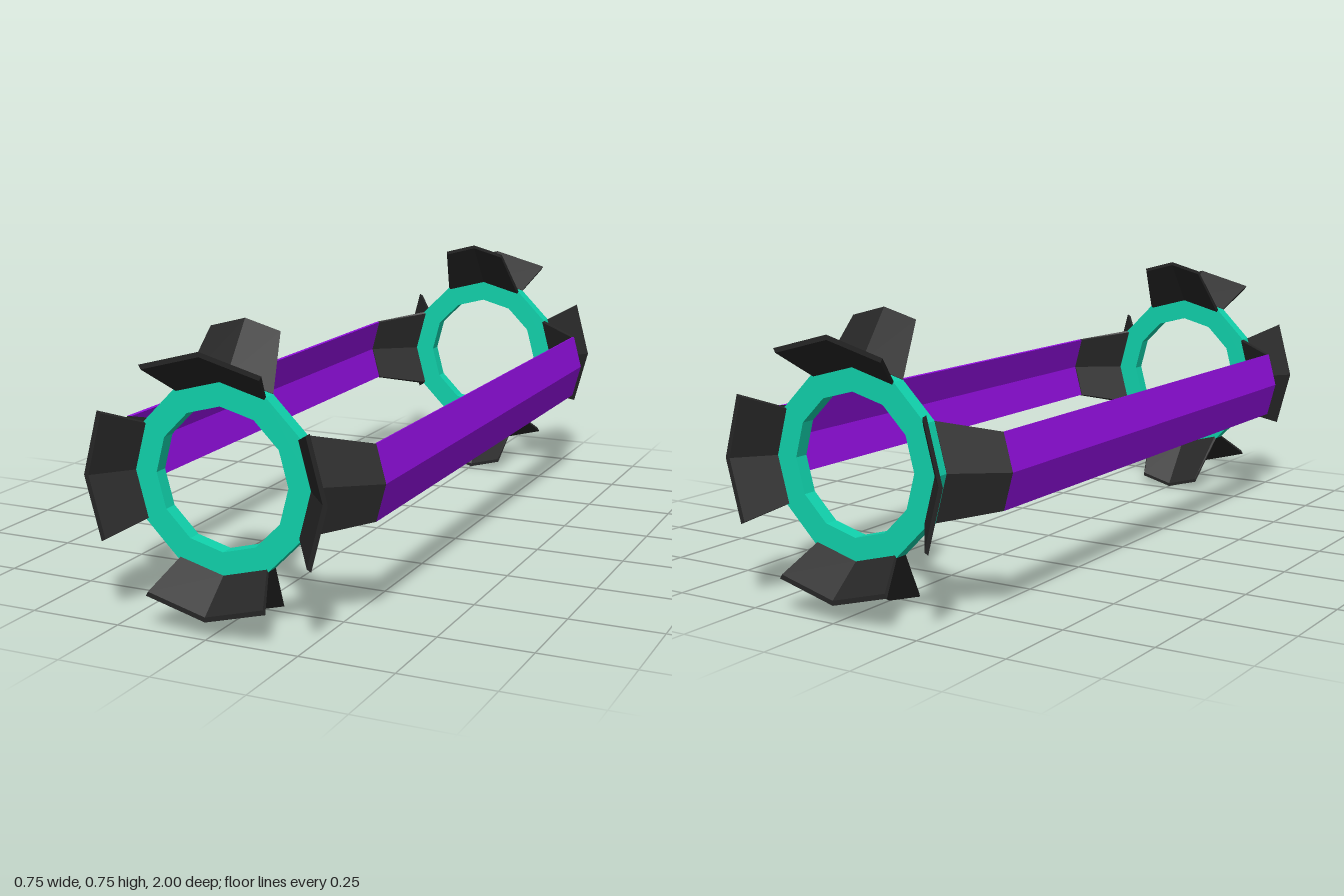
import * as THREE from 'three';

const CENTRE_Y = 0.376;
const material = (name, color, flatShading = true) =>
  new THREE.MeshStandardMaterial({ name, color, flatShading });

// Three-point chevron band facing +y: outer edge right to left, then inner edge back.
function chevron(halfWidth, sideY, peakY, thickness) {
  const s = (sideY - thickness) / sideY;
  return [
    [halfWidth, sideY], [0, peakY], [-halfWidth, sideY],
    [-halfWidth * s, sideY * s], [0, peakY * s], [halfWidth * s, sideY * s],
  ];
}

// Solid between two chevron sections, back at z0 and front at z1.
function loft(back, front, z0, z1) {
  const a = back.map(([x, y]) => [x, y, z0]);
  const b = front.map(([x, y]) => [x, y, z1]);
  const pos = [];
  const quad = (p, q, r, s) => pos.push(...p, ...q, ...r, ...p, ...r, ...s);
  for (let i = 0; i < 6; i++) {
    const j = (i + 1) % 6;
    quad(a[i], a[j], b[j], b[i]);
  }
  for (const [i, j, k, l] of [[0, 1, 4, 5], [1, 2, 3, 4]]) {
    quad(b[i], b[j], b[k], b[l]);
    quad(a[l], a[k], a[j], a[i]);
  }
  const geometry = new THREE.BufferGeometry();
  geometry.setAttribute('position', new THREE.Float32BufferAttribute(pos, 3));
  geometry.computeVertexNormals();
  return geometry;
}

function polygon(PathType, radius) {
  const points = [];
  for (let i = 0; i < 12; i++) {
    const t = (i * Math.PI) / 6;
    points.push(new THREE.Vector2(radius * Math.cos(t), radius * Math.sin(t)));
  }
  return new PathType(points);
}

export function createModel() {
  const model = new THREE.Group();
  model.name = 'twinRingFrame';
  const teal = material('teal', 0x10d2ac);
  const black = material('black', 0x262626);
  const purple = material('purple', 0x900edc);

  // Shared geometries
  const ringShape = polygon(THREE.Shape, 0.249);
  ringShape.holes.push(polygon(THREE.Path, 0.182));
  const ringGeometry = new THREE.ExtrudeGeometry(ringShape, { depth: 0.039, bevelEnabled: false });
  const base = chevron(0.125, 0.2165, 0.25, 0.008);
  const flare = chevron(0.165, 0.287, 0.331, 0.011);
  const bracketEnd = chevron(0.097, 0.35, 0.376, 0.009);
  const railSection = chevron(0.097, 0.35, 0.376, 0.007);
  const flareGeometry = loft(base, flare, 0.906, 1);
  const bracketGeometry = loft(bracketEnd, base, 0.775, 0.869);
  const railGeometry = loft(railSection, railSection, -0.775, 0.775);

  const add = (parent, name, geometry, mat, angle = 0) => {
    const mesh = new THREE.Mesh(geometry, mat);
    mesh.name = name;
    mesh.rotation.z = angle;
    parent.add(mesh);
    return mesh;
  };

  // Each end: a ring with four flared flaps outside and four brackets inside
  for (const [name, turn] of [['frontEnd', 0], ['backEnd', Math.PI]]) {
    const end = new THREE.Group();
    end.name = name;
    end.position.y = CENTRE_Y;
    end.rotation.y = turn;
    add(end, 'ring', ringGeometry, teal).position.z = 0.868;
    for (let k = 0; k < 4; k++) {
      add(end, 'outerFlap', flareGeometry, black, (k * Math.PI) / 2);
      add(end, 'innerBracket', bracketGeometry, black, (k * Math.PI) / 2);
    }
    model.add(end);
  }

  // Long side rails joining the two ends
  for (const [name, side] of [['leftRail', -1], ['rightRail', 1]]) {
    add(model, name, railGeometry, purple, (side * Math.PI) / 2).position.y = CENTRE_Y;
  }
  return model;
}
